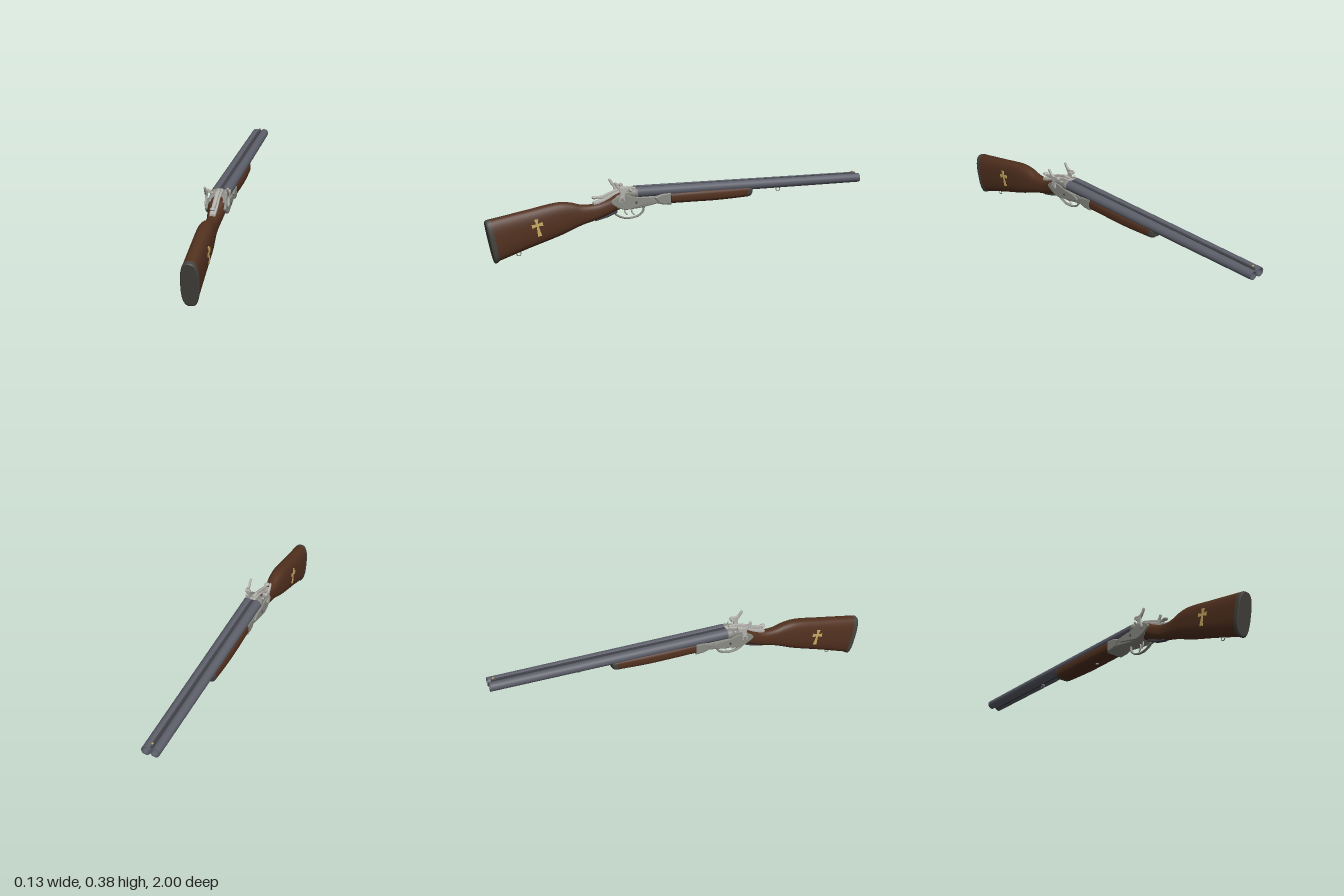
import * as THREE from 'three';

const mat = (name, color, side = THREE.FrontSide) => {
  const m = new THREE.MeshStandardMaterial({ color, side });
  m.name = name;
  return m;
};

// Closed rounded body; each section is [halfWidth, topY, topZ, bottomY, bottomZ], ordered from +z to -z
function loft(sections, power = 2.8, steps = 32, sides = 36) {
  const top = new THREE.CatmullRomCurve3(sections.map(s => new THREE.Vector3(s[0], s[1], s[2])));
  const low = new THREE.CatmullRomCurve3(sections.map(s => new THREE.Vector3(s[0], s[3], s[4])));
  const pos = [], idx = [];
  const bend = v => Math.sign(v) * Math.abs(v) ** (2 / power);
  const ring = i => {
    const t = top.getPoint(i / steps), b = low.getPoint(i / steps);
    for (let j = 0; j < sides; j++) {
      const a = (j / sides) * Math.PI * 2, k = (bend(Math.sin(a)) + 1) / 2;
      pos.push(t.x * bend(Math.cos(a)), b.y + (t.y - b.y) * k, b.z + (t.z - b.z) * k);
    }
    return [0, (t.y + b.y) / 2, (t.z + b.z) / 2];
  };
  for (let i = 0; i <= steps; i++) ring(i);
  for (let i = 0; i < steps; i++) for (let j = 0; j < sides; j++) {
    const n = (j + 1) % sides, a = i * sides + j, b = i * sides + n;
    idx.push(a, a + sides, b + sides, a, b + sides, b);
  }
  for (const end of [0, steps]) {
    const base = pos.length / 3, c = ring(end);
    pos.push(...c);
    for (let j = 0; j < sides; j++) {
      const n = (j + 1) % sides;
      idx.push(base + sides, base + (end ? n : j), base + (end ? j : n));
    }
  }
  const g = new THREE.BufferGeometry();
  g.setAttribute('position', new THREE.Float32BufferAttribute(pos, 3));
  g.setIndex(idx);
  g.computeVertexNormals();
  return g;
}

// Side profile of [z, y] points extruded across x, centred on x = 0
function slab(points, width, bevel = 0, smooth = false) {
  const pts = points.map(p => new THREE.Vector2(p[0], p[1]));
  const shape = new THREE.Shape();
  if (smooth) {
    shape.setFromPoints(new THREE.CatmullRomCurve3(pts.map(p => new THREE.Vector3(p.x, p.y, 0)), true)
      .getPoints(48).slice(0, -1).map(p => new THREE.Vector2(p.x, p.y)));
  } else shape.setFromPoints(pts);
  const depth = width - bevel * 2;
  const g = new THREE.ExtrudeGeometry(shape, { depth, bevelEnabled: bevel > 0, bevelSize: bevel, bevelThickness: bevel, bevelOffset: -bevel, bevelSegments: 2 });
  return g.translate(0, 0, -depth / 2).rotateY(-Math.PI / 2);
}

// Rod bent along [x, y, z] points
const rod = (points, radius) => new THREE.TubeGeometry(
  new THREE.CatmullRomCurve3(points.map(p => new THREE.Vector3(...p))), 32, radius, 8);

export function createModel() {
  const group = new THREE.Group();
  const wood = mat('walnut', 0x52311f);
  const steel = mat('blued steel', 0x5d5f6a, THREE.DoubleSide);
  const dark = mat('dark steel', 0x42434a);
  const iron = mat('grey iron', 0x8b8b85);
  const silver = mat('polished silver', 0xb4b2ad);
  const rubber = mat('butt rubber', 0x45433e);
  const gold = mat('gold', 0xc8aa62);
  const add = (name, geo, material, x = 0, y = 0, z = 0) => {
    const m = new THREE.Mesh(geo, material);
    m.name = name;
    m.position.set(x, y, z);
    group.add(m);
    return m;
  };
  const box = (w, h, d) => new THREE.BoxGeometry(w, h, d);

  // Stock and butt plate
  add('stock', loft([
    [0.042, 0.221, 0.975, 0.012, 0.935],
    [0.042, 0.253, 0.8, 0.066, 0.78],
    [0.041, 0.282, 0.63, 0.122, 0.61],
    [0.037, 0.277, 0.57, 0.147, 0.55],
    [0.032, 0.262, 0.51, 0.165, 0.5],
    [0.031, 0.264, 0.44, 0.182, 0.44],
    [0.038, 0.286, 0.38, 0.203, 0.385],
    [0.045, 0.31, 0.335, 0.226, 0.33],
    [0.045, 0.32, 0.285, 0.235, 0.28],
  ], 2.7, 48), wood);
  add('buttPlate', loft([
    [0.039, 0.211, 1.0, 0.006, 0.958],
    [0.0425, 0.217, 0.993, 0.0, 0.952],
    [0.0425, 0.222, 0.974, 0.01, 0.934],
  ], 2.7, 8), rubber);

  // Gold cross inlays with flared arms
  const cross = [
    [-0.01, 0.032], [0.01, 0.032], [0.005, 0.008], [0.028, 0.012], [0.028, -0.008], [0.005, -0.004],
    [0.01, -0.054], [-0.01, -0.054], [-0.005, -0.004], [-0.028, -0.008], [-0.028, 0.012], [-0.005, 0.008],
  ];
  for (const s of [-1, 1]) {
    const c = add('crossInlay', slab(cross, 0.007), gold, s * 0.0405, 0.182, 0.748);
    c.rotation.x = 0.22;
  }

  // Barrels with open muzzles
  const barrelY = 0.311;
  for (const s of [-1, 1]) {
    const x = s * 0.0225;
    add('barrel', new THREE.CylinderGeometry(0.023, 0.0265, 1.235, 32, 1, true).rotateX(-Math.PI / 2), steel, x, barrelY, -0.3825);
    add('bore', new THREE.CylinderGeometry(0.018, 0.018, 0.5, 32, 1, true).rotateX(-Math.PI / 2), steel, x, barrelY, -0.75);
    add('boreEnd', new THREE.CircleGeometry(0.018, 24).rotateY(Math.PI), dark, x, barrelY, -0.5);
    add('muzzleRim', new THREE.RingGeometry(0.018, 0.023, 32).rotateY(Math.PI), steel, x, barrelY, -1);
  }
  add('topRib', box(0.013, 0.014, 1.22), dark, 0, 0.327, -0.375);
  add('bottomRib', box(0.014, 0.01, 1.22), dark, 0, 0.294, -0.375);
  add('frontSightBase', box(0.007, 0.006, 0.025), steel, 0, 0.336, -0.975);
  add('frontBead', new THREE.SphereGeometry(0.005, 12, 8), gold, 0, 0.342, -0.975);

  // Fore-end
  add('foreEnd', loft([
    [0.05, 0.305, 0.06, 0.243, 0.06],
    [0.053, 0.307, -0.06, 0.243, -0.06],
    [0.053, 0.308, -0.2, 0.243, -0.2],
    [0.049, 0.308, -0.365, 0.249, -0.35],
  ], 3.2), wood);
  add('foreEndTip', loft([
    [0.049, 0.308, -0.364, 0.249, -0.349],
    [0.047, 0.308, -0.378, 0.252, -0.372],
    [0.041, 0.306, -0.387, 0.26, -0.383],
  ], 3.2, 8), rubber);
  add('foreEndScrew', new THREE.CylinderGeometry(0.009, 0.009, 0.006, 16), iron, 0, 0.242, -0.08);

  // Receiver, fore-end iron and breech
  add('receiver', slab([
    [0.345, 0.24], [0.295, 0.228], [0.22, 0.234], [0.12, 0.252], [0.12, 0.29],
    [0.228, 0.29], [0.234, 0.322], [0.29, 0.322], [0.345, 0.3],
  ], 0.088, 0.006), iron);
  add('foreEndIron', slab([
    [0.15, 0.283], [0.125, 0.25], [0.1, 0.243], [0.058, 0.241], [0.058, 0.304], [0.11, 0.3],
  ], 0.1, 0.008), iron);

  for (const s of [-1, 1]) {
    // Lock plate, breech fence and percussion nipple
    add('lockPlate', slab([
      [0.375, 0.273], [0.345, 0.248], [0.297, 0.231], [0.235, 0.242], [0.15, 0.268],
      [0.17, 0.284], [0.24, 0.292], [0.3, 0.304], [0.35, 0.296],
    ], 0.012, 0.003, true), iron, s * 0.0455);
    const fence = add('breechFence', new THREE.SphereGeometry(0.026, 24, 16), iron, s * 0.025, 0.309, 0.25);
    fence.scale.z = 1.25;
    add('nipple', new THREE.CylinderGeometry(0.005, 0.007, 0.03, 12).rotateZ(-s * Math.PI / 3), silver, s * 0.036, 0.322, 0.272);

    // Hammer with thumb spur, striking nose and pivot screw
    add('hammer', slab([
      [0.338, 0.277], [0.322, 0.27], [0.307, 0.28], [0.308, 0.302], [0.303, 0.322], [0.283, 0.337],
      [0.29, 0.349], [0.316, 0.345], [0.334, 0.354], [0.351, 0.375], [0.358, 0.371], [0.346, 0.346],
      [0.331, 0.325], [0.333, 0.3],
    ], 0.01, 0.002, true), silver, s * 0.0555);
    add('hammerNose', box(0.02, 0.012, 0.016), silver, s * 0.045, 0.336, 0.296);
    add('hammerScrew', new THREE.CylinderGeometry(0.01, 0.01, 0.014, 16).rotateZ(Math.PI / 2), iron, s * 0.056, 0.284, 0.322);
    add('lockScrew', new THREE.CylinderGeometry(0.006, 0.006, 0.004, 12).rotateZ(Math.PI / 2), dark, s * 0.052, 0.265, 0.245);
  }

  // Opening lever and tang on top of the wrist
  add('tang', slab([
    [0.235, 0.334], [0.29, 0.332], [0.35, 0.313], [0.4, 0.287], [0.455, 0.272],
    [0.455, 0.258], [0.38, 0.27], [0.235, 0.305],
  ], 0.03, 0.003), silver);
  add('topLever', slab([
    [0.255, 0.34], [0.295, 0.343], [0.35, 0.325], [0.41, 0.302], [0.45, 0.297],
    [0.45, 0.288], [0.4, 0.285], [0.34, 0.3], [0.255, 0.32],
  ], 0.014, 0.003), silver);
  const thumb = add('leverThumbPiece', new THREE.SphereGeometry(0.013, 20, 12), silver, 0, 0.294, 0.447);
  thumb.scale.set(1, 0.65, 1.1);

  // Trigger guard, its tail strap and two triggers
  const guard = add('triggerGuard', rod([
    [0, 0.222, 0.35], [0, 0.2, 0.335], [0, 0.182, 0.3], [0, 0.178, 0.26],
    [0, 0.19, 0.215], [0, 0.213, 0.193], [0, 0.243, 0.19],
  ], 0.005), iron);
  guard.scale.x = 1.7;
  add('guardStrap', slab([
    [0.33, 0.228], [0.39, 0.203], [0.45, 0.18], [0.445, 0.175], [0.385, 0.19], [0.33, 0.213],
  ], 0.022, 0.002), dark);
  [[0.285, -0.006], [0.252, 0.006]].forEach(([z, x]) => add('trigger', rod([
    [x, 0.24, z], [x, 0.22, z + 0.004], [x, 0.205, z], [x, 0.195, z - 0.01],
  ], 0.004), silver));

  // Sling loops under the barrels and the stock
  for (const [y, z] of [[0.275, -0.545], [0.04, 0.835]]) {
    add('slingLoop', new THREE.TorusGeometry(0.011, 0.0025, 8, 24).rotateY(Math.PI / 2), iron, 0, y, z);
    add('slingStud', new THREE.CylinderGeometry(0.004, 0.004, 0.016, 10), iron, 0, y + 0.015, z);
  }
  return group;
}
